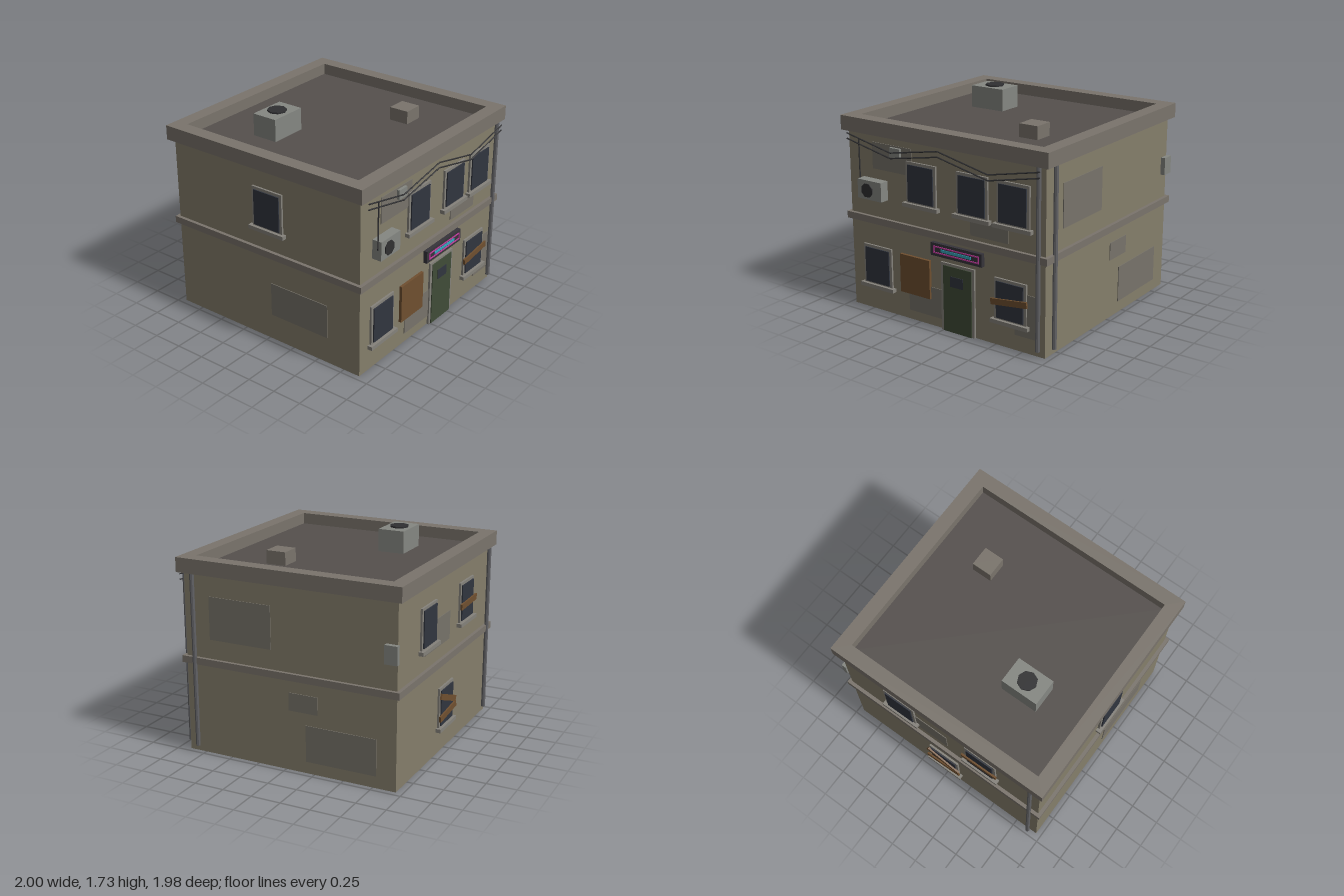
import * as THREE from 'three';

const WALL_X = 0.955, FRONT = 0.898, BACK = -0.944, MID_Z = -0.023, HALF_Z = 0.921;

const materials = {};
function mat(color) {
  return (materials[color] ??= new THREE.MeshStandardMaterial({ color, flatShading: true }));
}
const C = {
  wall: 0x857e6b, trim: 0x7a746c, roof: 0x55504d, glass: 0x31353f, frame: 0x85827b, patch: 0x77736a,
  pipe: 0x626265, metal: 0x858782, dark: 0x303032, wood: 0x6f4f2f, door: 0x404c38,
  sign: 0x36343a, pink: 0xc03c9c, cyan: 0x35a5bd
};

function add(parent, name, geometry, color, x = 0, y = 0, z = 0) {
  const mesh = new THREE.Mesh(geometry, mat(color));
  mesh.name = name;
  mesh.position.set(x, y, z);
  parent.add(mesh);
  return mesh;
}

// Box given by its extents
function box(parent, name, color, x0, x1, y0, y1, z0, z1) {
  return add(parent, name, new THREE.BoxGeometry(x1 - x0, y1 - y0, z1 - z0), color,
    (x0 + x1) / 2, (y0 + y1) / 2, (z0 + z1) / 2);
}

// Box fixed to a wall: across, up, and how far it stands out
function onWall(wall, name, color, x0, x1, y0, y1, out, from = 0.001) {
  return box(wall, name, color, x0, x1, y0, y1, from, out);
}

function rect(path, hx, hy) {
  path.moveTo(-hx, -hy);
  path.lineTo(hx, -hy);
  path.lineTo(hx, hy);
  path.lineTo(-hx, hy);
  path.closePath();
  return path;
}

function frameGeometry(hx, hy, t, depth) {
  const shape = rect(new THREE.Shape(), hx, hy);
  shape.holes.push(rect(new THREE.Path(), hx - t, hy - t));
  return new THREE.ExtrudeGeometry(shape, { depth, bevelEnabled: false });
}

// Horizontal band running round the building
function band(parent, name, overhang, thickness, y0, y1) {
  const ring = frameGeometry(WALL_X + overhang, HALF_Z + overhang, thickness, y1 - y0);
  ring.rotateX(-Math.PI / 2);
  return add(parent, name, ring, C.trim, 0, y0, MID_Z);
}

function makeWall(parent, name, width, centre, x, z, turn) {
  const wall = new THREE.Group();
  wall.name = name;
  wall.position.set(x, 0, z);
  wall.rotation.y = turn;
  const panel = add(wall, name + 'Panel', new THREE.PlaneGeometry(width, 1.52), C.wall, centre, 0.76, 0);
  panel.material = new THREE.MeshStandardMaterial({ color: C.wall, side: THREE.DoubleSide });
  parent.add(wall);
  return wall;
}

// Window with its sill at height y
function addWindow(wall, x, y) {
  const g = new THREE.Group();
  g.name = 'window';
  g.position.set(x, y, 0);
  wall.add(g);
  onWall(g, 'windowFrame', C.frame, -0.148, 0.148, 0, 0.338, 0.018);
  onWall(g, 'windowGlass', C.glass, -0.125, 0.125, 0.015, 0.315, 0.028);
  onWall(g, 'windowSill', C.frame, -0.174, 0.174, -0.03, 0.002, 0.043);
}

function addPlank(wall, x, y, tilt) {
  const plank = onWall(wall, 'plank', C.wood, -0.168, 0.168, -0.025, 0.025, 0.042, 0.026);
  plank.position.x = x;
  plank.position.y = y;
  plank.rotation.z = tilt;
}

function addPatches(wall, list) {
  for (const [x0, x1, y0, y1] of list) onWall(wall, 'plasterPatch', C.patch, x0, x1, y0, y1, 0.007);
}

function addPipe(wall, x) {
  add(wall, 'drainpipe', new THREE.CylinderGeometry(0.0185, 0.0185, 1.45, 8), C.pipe, x, 0.78, 0.0265);
}

// Straight cable between two points
function cable(parent, name, a, b, r = 0.006) {
  const dir = b.clone().sub(a), mid = a.clone().add(b).multiplyScalar(0.5);
  const mesh = add(parent, name, new THREE.CylinderGeometry(r, r, dir.length(), 5), C.dark, mid.x, mid.y, mid.z);
  mesh.quaternion.setFromUnitVectors(new THREE.Vector3(0, 1, 0), dir.normalize());
}

function fan(parent, r, x, y, z, upward) {
  const g = new THREE.CylinderGeometry(r, r, 0.016, 8);
  g.rotateY(upward ? 0 : Math.PI / 8);
  if (!upward) g.rotateX(Math.PI / 2);
  add(parent, 'fan', g, C.dark, x, y, z);
}

function buildFront(wall) {
  addPatches(wall, [[-0.706, -0.305, 1.22, 1.44], [0.267, 0.62, 0.85, 0.98],
    [-0.358, -0.016, 0.08, 0.33], [0.68, 0.91, 0.13, 0.48]]);
  for (const x of [-0.206, 0.291, 0.671]) addWindow(wall, x, 1.002);
  for (const x of [-0.679, 0.645]) addWindow(wall, x, 0.225);
  addPlank(wall, 0.645, 0.39, 0.12);
  onWall(wall, 'boardedOpening', C.wood, -0.433, -0.131, 0.23, 0.556, 0.025);

  // Door
  onWall(wall, 'doorFrame', C.frame, -0.019, 0.308, 0, 0.575, 0.018);
  onWall(wall, 'door', C.door, 0.008, 0.283, 0, 0.555, 0.025);
  onWall(wall, 'doorWindow', C.glass, 0.08, 0.206, 0.39, 0.476, 0.03);

  // Lit sign
  onWall(wall, 'signBoard', C.sign, -0.104, 0.394, 0.62, 0.727, 0.035);
  add(wall, 'signOutline', frameGeometry(0.223, 0.03, 0.01, 0.007), C.pink, 0.147, 0.674, 0.034);
  onWall(wall, 'signBar', C.cyan, 0, 0.294, 0.663, 0.685, 0.041);

  // Air conditioner, junction box and cables
  onWall(wall, 'airConditioner', C.metal, -0.807, -0.561, 0.976, 1.136, 0.083);
  fan(wall, 0.06, -0.706, 1.053, 0.083, false);
  onWall(wall, 'junctionBox', C.metal, -0.508, -0.406, 1.35, 1.427, 0.03);
  const sag = [[-0.93, 1.49], [-0.478, 1.393], [-0.005, 1.48], [0.47, 1.377], [0.932, 1.475]];
  for (const drop of [0, 0.045]) {
    const points = sag.map(([x, y]) => new THREE.Vector3(x, y - drop, 0.054));
    for (let i = 1; i < points.length; i++) cable(wall, 'overheadCable', points[i - 1], points[i]);
  }
  cable(wall, 'dropCable', new THREE.Vector3(-0.805, 1.46, 0.052), new THREE.Vector3(-0.805, 1.06, 0.052));
  addPipe(wall, 0.906);
}

function buildRoof(parent) {
  const roof = new THREE.Group();
  roof.name = 'roof';
  parent.add(roof);
  band(roof, 'parapet', 0.045, 0.118, 1.505, 1.626);
  box(roof, 'roofDeck', C.roof, -0.9, 0.9, 1.507, 1.53, MID_Z - 0.87, MID_Z + 0.87);
  box(roof, 'roofUnit', C.metal, -0.56, -0.24, 1.525, 1.717, -0.452, -0.227);
  fan(roof, 0.08, -0.4, 1.722, -0.342, true);
  box(roof, 'roofHatch', C.trim, 0.364, 0.535, 1.525, 1.64, 0.222, 0.393);
}

export function createModel() {
  const model = new THREE.Group();
  model.name = 'building';

  const front = makeWall(model, 'frontWall', 2 * WALL_X, 0, 0, FRONT, 0);
  const back = makeWall(model, 'backWall', 2 * WALL_X, 0, 0, BACK, Math.PI);
  const left = makeWall(model, 'leftWall', 2 * HALF_Z, -MID_Z, WALL_X, 0, Math.PI / 2);
  const right = makeWall(model, 'rightWall', 2 * HALF_Z, MID_Z, -WALL_X, 0, -Math.PI / 2);

  buildFront(front);

  // Left side
  addPatches(left, [[-0.674, -0.122, 0.976, 1.33], [0.03, 0.281, 0.504, 0.652], [0.178, 0.78, 0.1, 0.403]]);
  onWall(left, 'ventBox', C.metal, 0.851, 0.957, 1.026, 1.175, 0.04);
  addPipe(left, -0.81);

  // Right side
  addPatches(right, [[0.03, 0.59, 0.23, 0.52]]);
  addWindow(right, 0.02, 1.002);

  // Back
  addPatches(back, [[-0.45, 0.055, 0.93, 1.167]]);
  addWindow(back, -0.4, 1.002);
  addWindow(back, 0.395, 1.002);
  addWindow(back, -0.005, 0.225);
  addPlank(back, 0.395, 1.15, 0.04);
  addPlank(back, -0.005, 0.445, -0.36);
  addPlank(back, -0.005, 0.325, 0.1);
  addPipe(back, 0.88);

  band(model, 'beltCourse', 0.029, 0.06, 0.758, 0.815);
  buildRoof(model);
  return model;
}
